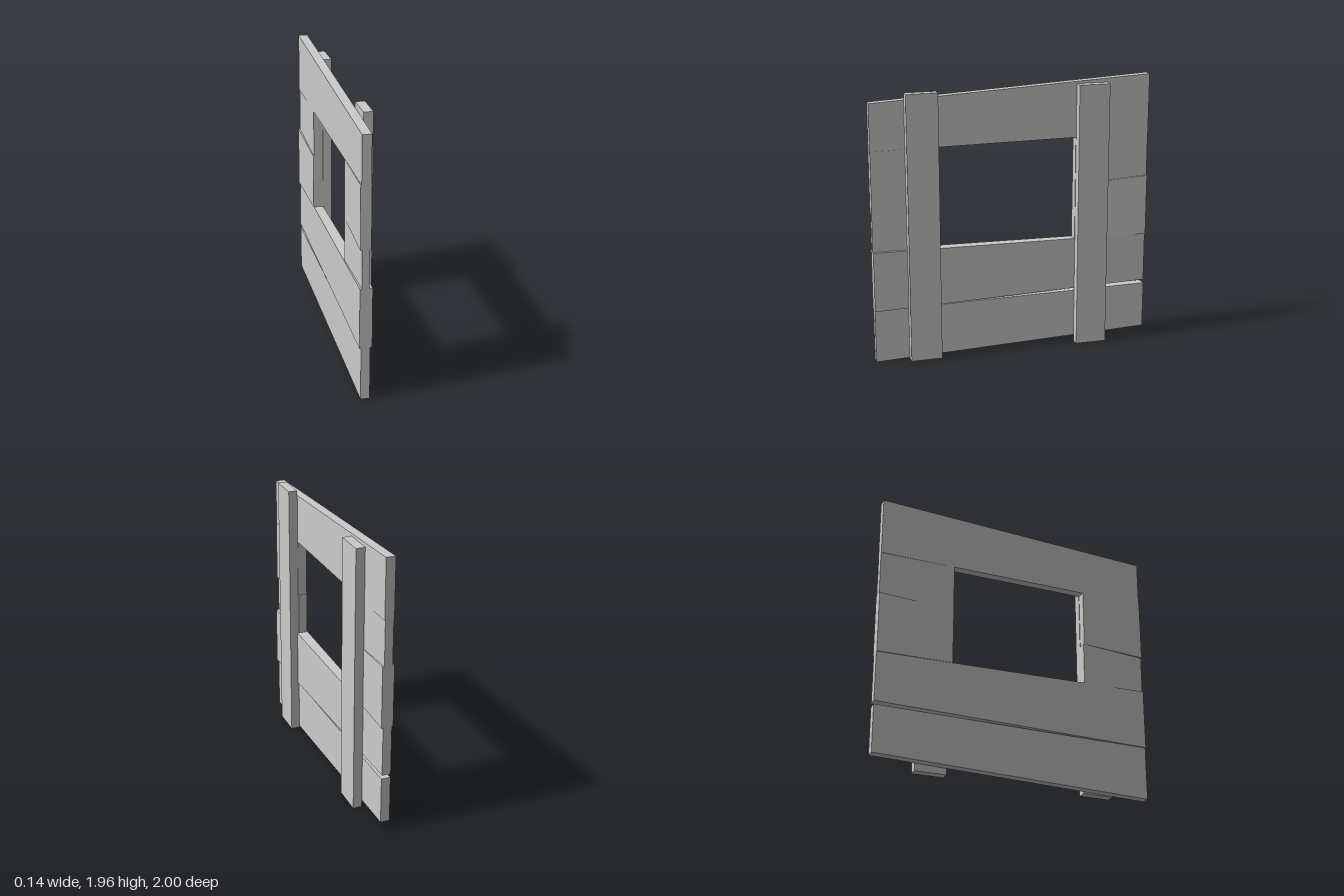
import * as THREE from 'three';

const material = new THREE.MeshStandardMaterial({ color: 0xcccccc, flatShading: true });

// Board running along z between two end sections, each [z, yBottom, yTop, xBack, xFace].
function board(name, a, b) {
  const geometry = new THREE.BoxGeometry(1, 1, 1);
  const p = geometry.attributes.position;
  for (let i = 0; i < p.count; i++) {
    const end = p.getZ(i) > 0 ? a : b;
    const y = p.getY(i) > 0 ? end[2] : end[1];
    const x = p.getX(i) > 0 ? end[4] : end[3];
    p.setXYZ(i, x, y, end[0]);
  }
  geometry.computeVertexNormals();
  const mesh = new THREE.Mesh(geometry, material);
  mesh.name = name;
  return mesh;
}

export function createModel() {
  const group = new THREE.Group();
  group.name = 'plankWallWithWindow';

  // Full-width planks, slightly crooked
  group.add(
    board('bottomPlank', [1, 0, 0.38, -0.06, 0.002], [-1, 0.065, 0.4, -0.063, 0.002]),
    board('sillPlank', [1, 0.38, 0.81, -0.07, 0.015], [-1, 0.425, 0.78, -0.064, -0.002]),
    board('topPlank', [1, 1.52, 1.85, -0.064, 0], [-1, 1.535, 1.957, -0.064, 0.002])
  );

  // Short planks in front of the window opening
  group.add(
    board('frontLowerPlank', [1, 0.81, 1.08, -0.057, -0.006], [0.535, 0.805, 1.11, -0.064, 0]),
    board('frontUpperPlank', [1, 1.08, 1.52, -0.07, 0.003], [0.54, 1.11, 1.527, -0.065, 0])
  );

  // Short planks behind the window opening
  group.add(
    board('rearLowerPlank', [-0.46, 0.787, 1.19, -0.068, 0.001], [-1, 0.78, 1.22, -0.073, 0.01]),
    board('rearUpperPlank', [-0.46, 1.19, 1.531, -0.064, 0], [-1, 1.22, 1.535, -0.06, -0.002])
  );

  // Upright battens on the outer face
  for (const [name, z0, z1] of [['frontBatten', 0.76, 0.538], ['rearBatten', -0.462, -0.685]]) {
    group.add(board(name, [z0, 0.003, 1.912, 0.003, 0.067], [z1, 0.003, 1.912, 0.003, 0.067]));
  }
  return group;
}
